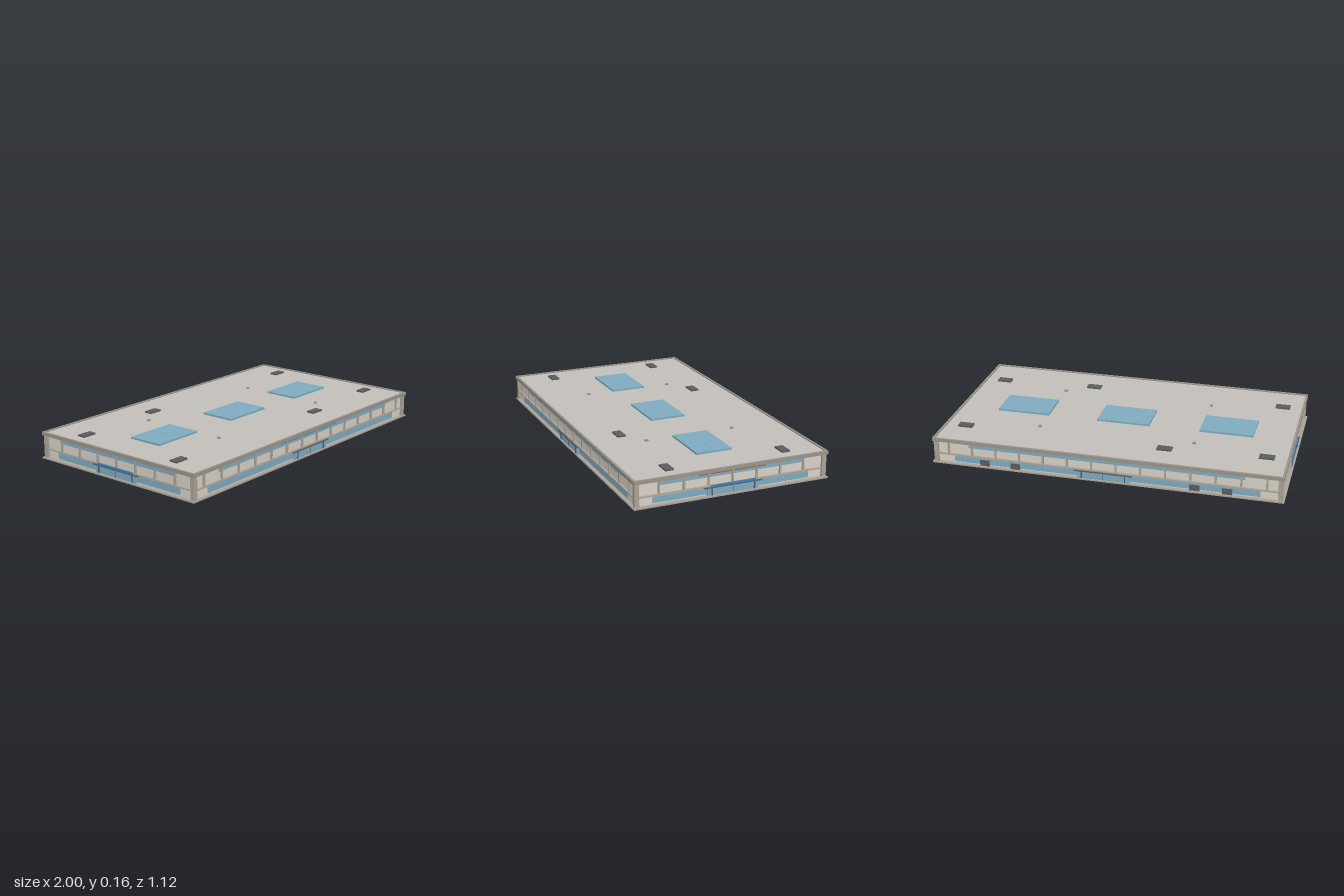
import * as THREE from 'three';

const mat = (color) => new THREE.MeshStandardMaterial({ color });
const M = {
  wall: mat(0xd8d1c5), trim: mat(0xaaa399), roof: mat(0xc2bfba), rim: mat(0x99958c),
  glass: mat(0x7fabc0), dark: mat(0x5c5c5e), blue: mat(0x3f82b5), red: mat(0xb5503f), frame: mat(0x50606a),
};

// Box given by its centre x/z, its bottom and top height, and its width/depth
function box(parent, name, m, x, z, y0, y1, w, d) {
  const mesh = new THREE.Mesh(new THREE.BoxGeometry(w, y1 - y0, d), m);
  mesh.position.set(x, (y0 + y1) / 2, z);
  mesh.name = name;
  parent.add(mesh);
  return mesh;
}

const WX = 0.975, WZ = 0.54; // wall half sizes

// One facade, facing +z locally, with its wall plane at distance d
function facade(name, d, angle, o) {
  const g = new THREE.Group();
  g.name = name;
  g.rotation.y = angle;
  box(g, 'lowerGlazing', M.glass, 0, d, 0.015, 0.049, o.lower * 2, 0.008);
  box(g, 'upperGlazing', M.glass, 0, d, 0.107, 0.131, o.upper * 2, 0.008);
  // Upper storey pilasters
  for (let i = 0; i < o.count; i++) {
    const x = (i - (o.count - 1) / 2) * 0.139;
    box(g, 'pilaster', M.trim, x, d + 0.004, 0.062, 0.134, 0.01, 0.012);
  }
  // Entrance with glazed doors, side pillars and a canopy
  box(g, 'entranceGlass', M.glass, 0, d + 0.005, 0.008, 0.05, 0.25, 0.014);
  box(g, 'doorDivider', M.frame, 0, d + 0.006, 0.008, 0.05, 0.003, 0.014);
  for (const s of [-1, 1]) {
    box(g, 'entrancePillar', M.frame, s * 0.123, d + 0.011, 0.006, 0.051, 0.006, 0.014);
    box(g, 'entrancePillar', M.glass, s * 0.137, d + 0.008, 0.008, 0.05, 0.022, 0.014);
  }
  box(g, 'canopy', M.frame, 0, d + 0.008, 0.05, 0.055, 0.33, 0.026);
  if (o.fascia) box(g, 'canopyFascia', M.blue, 0, d + 0.014, 0.055, 0.065, 0.26, 0.008);
  if (o.panel) box(g, 'signPanel', o.panel, 0, d + 0.004, 0.124, 0.134, o.panelWidth, 0.01);
  for (const x of o.doors || []) box(g, 'serviceDoor', M.dark, x, d + 0.004, 0.008, 0.042, 0.055, 0.01);
  return g;
}

export function createModel() {
  const model = new THREE.Group();
  model.name = 'building';

  // Main mass: base slab, walls, belt course and roof
  box(model, 'baseSlab', M.trim, 0, 0, 0, 0.008, 2, 1.122);
  box(model, 'walls', M.wall, 0, 0, 0.008, 0.136, WX * 2, WZ * 2);
  box(model, 'beltCourse', M.trim, 0, 0, 0.055, 0.062, 1.976, 1.106);
  box(model, 'roofSlab', M.roof, 0, 0, 0.134, 0.148, 1.98, 1.108);

  // Parapet around the roof
  for (const s of [-1, 1]) {
    box(model, 'parapet', M.rim, 0, s * 0.554, 0.134, 0.154, 1.99, 0.013);
    box(model, 'parapet', M.rim, s * 0.989, 0, 0.134, 0.154, 0.013, 1.1);
    for (const t of [-1, 1]) // corner columns
      box(model, 'cornerColumn', M.trim, s * 0.977, t * 0.541, 0.008, 0.135, 0.025, 0.025);
  }

  // Facades
  const long = { lower: 0.87, upper: 0.785, count: 14 };
  const short = { lower: 0.45, upper: 0.417, count: 7, fascia: true };
  model.add(facade('frontFacade', WZ, 0, { ...long, panel: M.blue, panelWidth: 0.52 }));
  model.add(facade('backFacade', WZ, Math.PI, { ...long, doors: [-0.69, -0.51, 0.51, 0.69] }));
  model.add(facade('leftFacade', WX, Math.PI / 2, { ...short, panel: M.red, panelWidth: 0.385 }));
  model.add(facade('rightFacade', WX, -Math.PI / 2, short));

  // Skylights with thin crossing bars
  for (const x of [-0.605, 0, 0.605]) {
    box(model, 'skylight', M.glass, x, 0, 0.147, 0.159, 0.31, 0.208);
    box(model, 'skylightBar', M.glass, x, 0, 0.158, 0.1596, 0.31, 0.003);
    box(model, 'skylightBar', M.glass, x, 0, 0.158, 0.1596, 0.003, 0.208);
  }

  // Rooftop units
  const units = [[-0.87, -0.335], [-0.305, -0.368], [0.87, -0.35], [-0.87, 0.345], [0.3, 0.362], [0.87, 0.328]];
  for (const [x, z] of units) box(model, 'rooftopUnit', M.dark, x, z, 0.147, 0.157, 0.085, 0.048);

  // Round roof vents
  for (const x of [-0.452, 0.452]) for (const z of [-0.261, 0.261]) {
    const vent = new THREE.Mesh(new THREE.CylinderGeometry(0.01, 0.01, 0.009, 16), M.rim);
    vent.position.set(x, 0.1515, z);
    vent.name = 'roofVent';
    model.add(vent);
  }
  return model;
}
